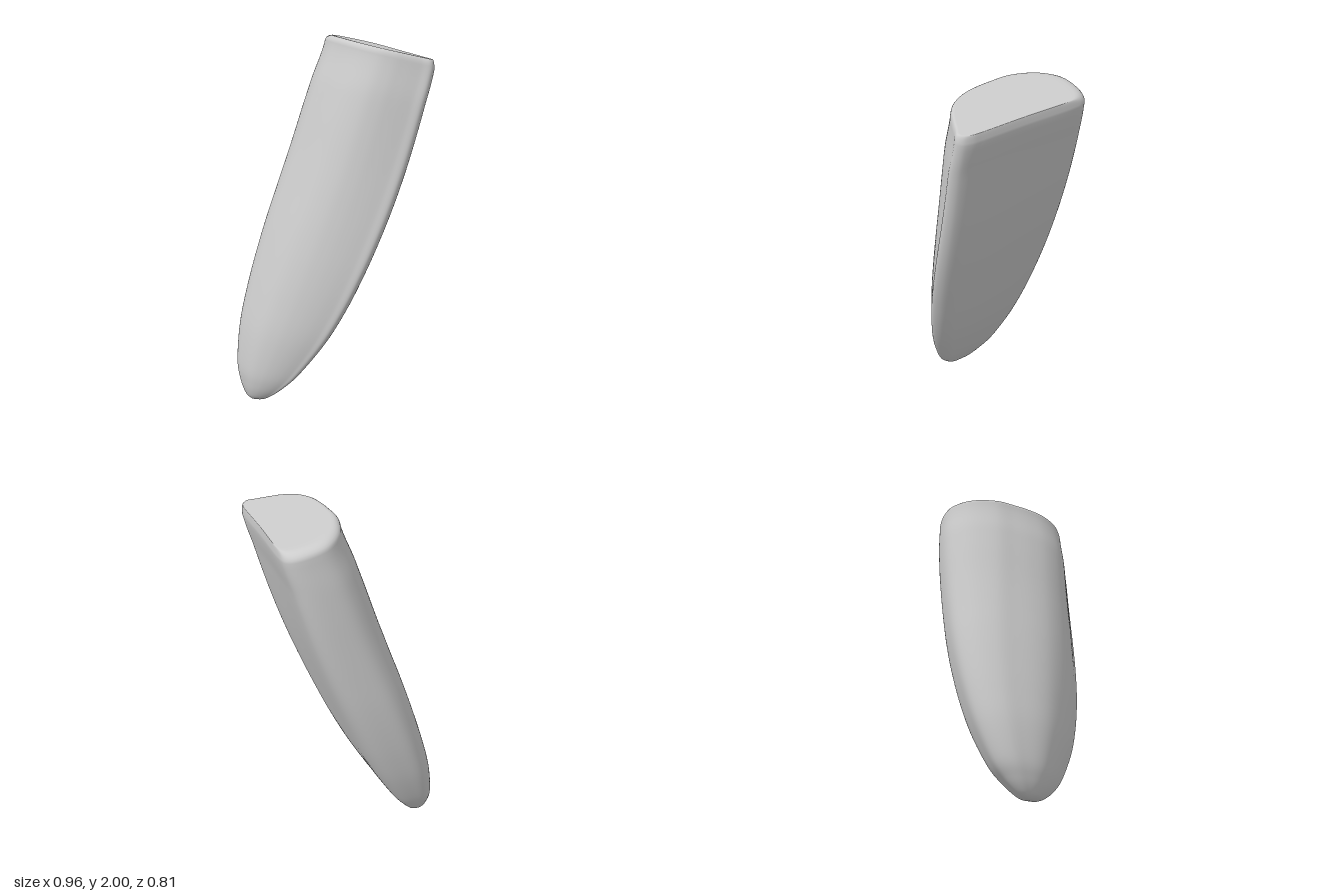
import * as THREE from 'three';

// Levels of the blade: height, left x, right x, back z, front z
const levels = [
  [0, -0.41, -0.41, -0.025, -0.025],
  [0.007, -0.434, -0.38, -0.065, 0.015],
  [0.035, -0.455, -0.343, -0.103, 0.066],
  [0.1, -0.473, -0.28, -0.157, 0.13],
  [0.2, -0.48, -0.198, -0.218, 0.193],
  [0.4, -0.453, -0.07, -0.289, 0.277],
  [0.6, -0.402, 0.032, -0.335, 0.33],
  [0.8, -0.342, 0.118, -0.366, 0.364],
  [1.0, -0.277, 0.197, -0.386, 0.384],
  [1.2, -0.207, 0.269, -0.396, 0.395],
  [1.4, -0.138, 0.333, -0.402, 0.4],
  [1.6, -0.073, 0.389, -0.405, 0.403],
  [1.8, -0.007, 0.439, -0.402, 0.405],
  [2.01, 0.055, 0.482, -0.392, 0.398],
];

// D-shaped sections in a unit square, curved on the left and flat on the right
const tipSection = [
  [0, 0.25], [0.025, 0.4], [0.08, 0.55], [0.16, 0.66], [0.31, 0.775], [0.46, 0.855], [0.62, 0.92],
  [0.78, 0.97], [0.89, 1], [0.97, 0.95], [1, 0.87], [0.985, 0.77], [0.9, 0.47], [0.8, 0.16],
  [0.73, 0.07], [0.62, 0.015], [0.4, 0], [0.185, 0.02], [0.055, 0.115],
];
const topSection = [
  [0, 0.36], [0.035, 0.5], [0.085, 0.63], [0.16, 0.745], [0.3, 0.855], [0.457, 0.915], [0.62, 0.95],
  [0.8, 0.98], [0.92, 1], [0.985, 0.965], [1, 0.91], [0.985, 0.83], [0.9, 0.5], [0.815, 0.12],
  [0.78, 0.055], [0.7, 0.015], [0.5, 0], [0.235, 0.045], [0.065, 0.175],
];

const SIDES = tipSection.length * 6, ROWS = 78, BEVEL = 0.05;
const { lerp, smoothstep } = THREE.MathUtils;

const outline = (section) => new THREE.CatmullRomCurve3(
  section.map(([u, v]) => new THREE.Vector3(u, 0, v)), true, 'centripetal').getPoints(SIDES);

const levelCurve = (a, b) => new THREE.CatmullRomCurve3(
  levels.map((l) => new THREE.Vector3(l[a], l[0], l[b])), false, 'catmullrom', 0.5);

function bladeGeometry() {
  const xs = levelCurve(1, 2), zs = levelCurve(3, 4);
  const low = outline(tipSection), high = outline(topSection);
  const positions = [], index = [];
  let rings = 0;

  // One ring at parameter t, shrunk towards the flat side's front and moved by lift
  function addRing(t, scale = 1, lift = 0) {
    const x = xs.getPoint(t), z = zs.getPoint(t);
    const blend = smoothstep(x.y, 0.3, 2);
    for (let i = 0; i < SIDES; i++) {
      const u = lerp(0.9, lerp(low[i].x, high[i].x, blend), scale);
      const v = lerp(0.78, lerp(low[i].z, high[i].z, blend), scale);
      // levels tilt down towards the flat side and a little towards the front
      const tilt = 1 - 0.047 * u - 0.014 * (v - 0.36);
      positions.push(lerp(x.x, x.z, u), x.y * tilt + lift, lerp(z.x, z.z, v));
    }
    rings++;
  }

  // Body
  for (let r = 0; r <= ROWS; r++) addRing(r / ROWS, 1, -BEVEL * smoothstep(r / ROWS, 0.9, 1));
  // Rounded rim and flat top
  for (let i = 1; i <= 6; i++) {
    const a = (i / 6) * Math.PI / 2;
    addRing(1, 1 - 0.11 * (1 - Math.cos(a)), BEVEL * (Math.sin(a) - 1));
  }
  for (const scale of [0.85, 0.5, 0]) addRing(1, scale);

  // Skin, with single triangles where a ring closes to a point
  for (let r = 0; r < rings - 1; r++) {
    for (let i = 0; i < SIDES; i++) {
      const j = (i + 1) % SIDES;
      const a = r * SIDES + i, b = r * SIDES + j, c = b + SIDES, d = a + SIDES;
      if (r > 0) index.push(a, b, c);
      if (r < rings - 2) index.push(a, c, d);
    }
  }

  const geometry = new THREE.BufferGeometry();
  geometry.setAttribute('position', new THREE.Float32BufferAttribute(positions, 3));
  geometry.setIndex(index);
  geometry.computeVertexNormals();
  return geometry;
}

export function createModel() {
  const group = new THREE.Group();
  group.name = 'taperedBlade';
  const blade = new THREE.Mesh(bladeGeometry(), new THREE.MeshStandardMaterial({ color: 0xcccccc }));
  blade.name = 'blade';
  group.add(blade);
  return group;
}
